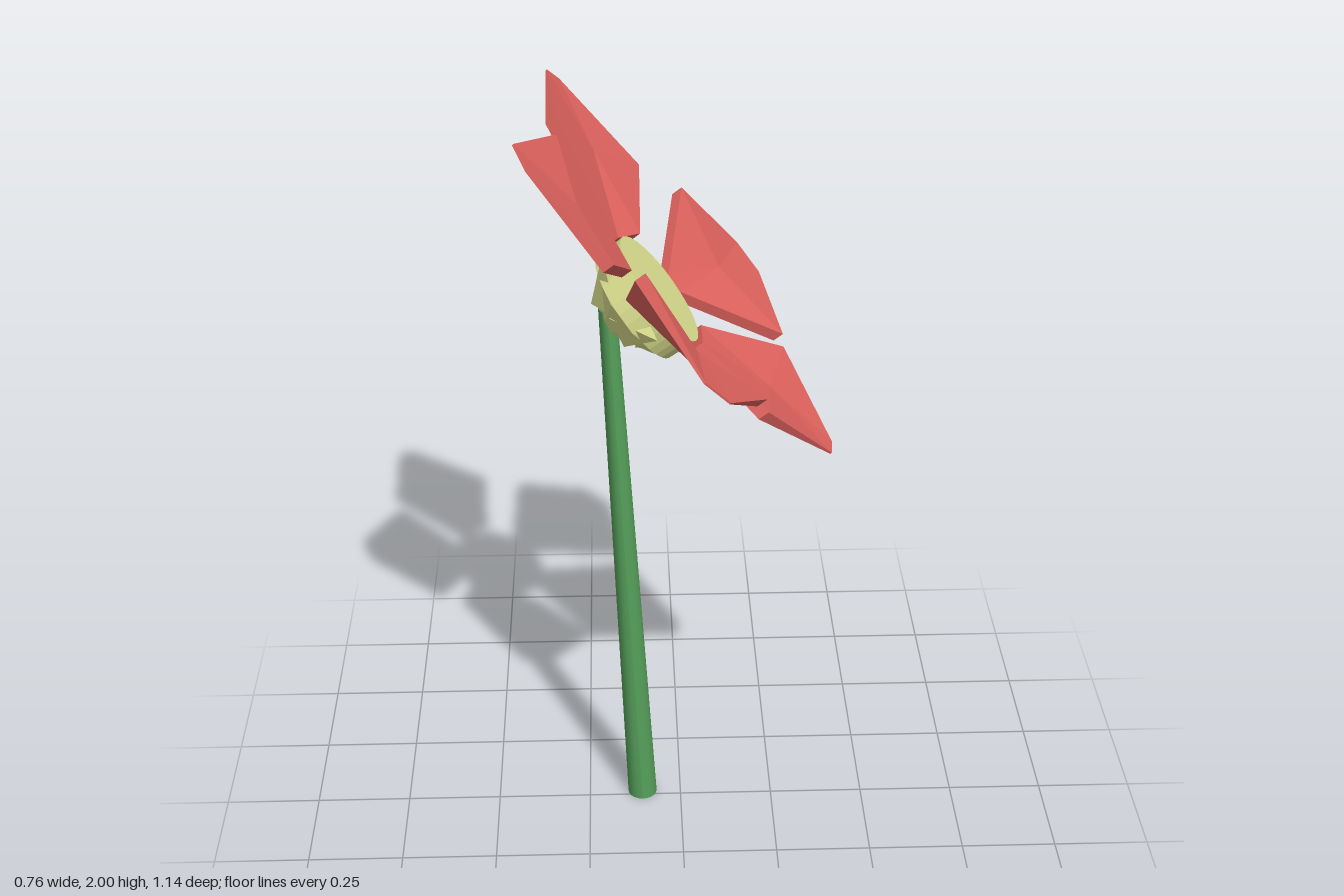
import * as THREE from 'three';

const V = (x, y, z) => new THREE.Vector3(x, y, z);
const UP = V(0, 1, 0);
const FACING = V(0.79, 0.61, 0).normalize(); // direction the bloom looks
const CENTER = V(-0.05, 1.535, -0.021);

// Petal outlines, each: side, tip, tip, side, inner, inner (counter-clockwise from the front)
const PETALS = [
  [[-0.29, 1.92, -0.057], [-0.378, 2.0, 0.203], [-0.347, 1.973, 0.292], [-0.16, 1.767, 0.345], [-0.118, 1.65, 0.12], [-0.158, 1.672, -0.01]],
  [[-0.092, 1.687, -0.44], [-0.29, 1.91, -0.466], [-0.318, 1.952, -0.415], [-0.293, 1.942, -0.118], [-0.148, 1.634, -0.103], [-0.094, 1.613, -0.175]],
  [[0.272, 1.294, -0.248], [0.227, 1.342, -0.527], [0.169, 1.411, -0.569], [0.017, 1.618, -0.452], [-0.025, 1.5, -0.172], [0.006, 1.464, -0.149]],
  [[0.2, 1.342, 0.26], [0.371, 1.14, 0.103], [0.378, 1.135, 0.04], [0.269, 1.289, -0.187], [0.052, 1.416, -0.06], [0.052, 1.427, 0.058]],
  [[-0.09, 1.761, 0.377], [0.036, 1.586, 0.568], [0.094, 1.528, 0.556], [0.193, 1.4, 0.303], [0.039, 1.44, 0.145], [-0.11, 1.607, 0.152]],
];
const THICKNESS = [0.03, 0.005, 0.005, 0.03, 0.03, 0.03];

// Slab from a front outline, thinning to the tip
function petalGeometry(outline) {
  const front = outline.map((p) => V(...p));
  const back = front.map((p, i) => p.clone().addScaledVector(FACING, -THICKNESS[i]));
  const middle = (ring) => ring.reduce((sum, p) => sum.add(p), V(0, 0, 0)).divideScalar(ring.length);
  const frontMid = middle(front), backMid = middle(back);
  const tris = [];
  front.forEach((a, i) => {
    const j = (i + 1) % front.length;
    tris.push(frontMid, a, front[j], backMid, back[j], back[i]);
    tris.push(a, back[i], back[j], a, back[j], front[j]);
  });
  const geometry = new THREE.BufferGeometry().setFromPoints(tris);
  geometry.computeVertexNormals();
  return geometry;
}

export function createModel() {
  const model = new THREE.Group();
  const material = (name, color) => {
    const m = new THREE.MeshStandardMaterial({ color });
    m.name = name;
    return m;
  };
  const red = material('petal red', 0xde625d);
  const yellow = material('pale yellow', 0xd8dc8d);
  const green = material('stem green', 0x559f5a);
  red.flatShading = yellow.flatShading = true;

  const add = (name, geometry, mat, parent = model) => {
    const mesh = new THREE.Mesh(geometry, mat);
    mesh.name = name;
    parent.add(mesh);
    return mesh;
  };

  // Stem: leaning, flattened sideways toward the top
  const stemHeight = 1.49;
  const stem = new THREE.CylinderGeometry(0.039, 0.039, stemHeight, 20);
  stem.translate(0, stemHeight / 2, 0);
  const pos = stem.attributes.position;
  for (let i = 0; i < pos.count; i++) {
    const t = pos.getY(i) / stemHeight;
    pos.setX(i, pos.getX(i) * (1 - 0.42 * t) - 0.105 - 0.073 * t);
    pos.setZ(i, pos.getZ(i) - 0.018);
  }
  stem.computeVertexNormals();
  add('stem', stem, green);

  // Flower head: round disc on a faceted cup
  const head = new THREE.Group();
  head.name = 'flowerHead';
  head.position.copy(CENTER);
  head.quaternion.setFromUnitVectors(UP, FACING);
  model.add(head);
  const disc = add('centerDisc', new THREE.CylinderGeometry(0.154, 0.15, 0.08, 32), yellow, head);
  disc.position.y = -0.04;
  const cup = [[0, -0.165], [0.035, -0.158], [0.143, -0.085], [0.15, -0.05]];
  add('cup', new THREE.LatheGeometry(cup.map(([r, y]) => new THREE.Vector2(r, y)), 10), yellow, head);

  // Petals, each held by a pointed bract growing from the cup
  PETALS.forEach((outline, i) => {
    add(`petal${i + 1}`, petalGeometry(outline), red);
    const inner = V(...outline[4]).add(V(...outline[5])).multiplyScalar(0.5);
    const outward = inner.clone().sub(CENTER).projectOnPlane(FACING).normalize();
    const tip = inner.addScaledVector(FACING, -0.035).addScaledVector(outward, 0.04);
    const root = CENTER.clone().addScaledVector(FACING, -0.095).addScaledVector(outward, 0.06);
    const length = root.distanceTo(tip);
    const bract = add(`bract${i + 1}`, new THREE.ConeGeometry(0.06, length, 4), yellow);
    bract.position.copy(root).lerp(tip, 0.5);
    bract.quaternion.setFromUnitVectors(UP, tip.clone().sub(root).normalize());
  });
  return model;
}
